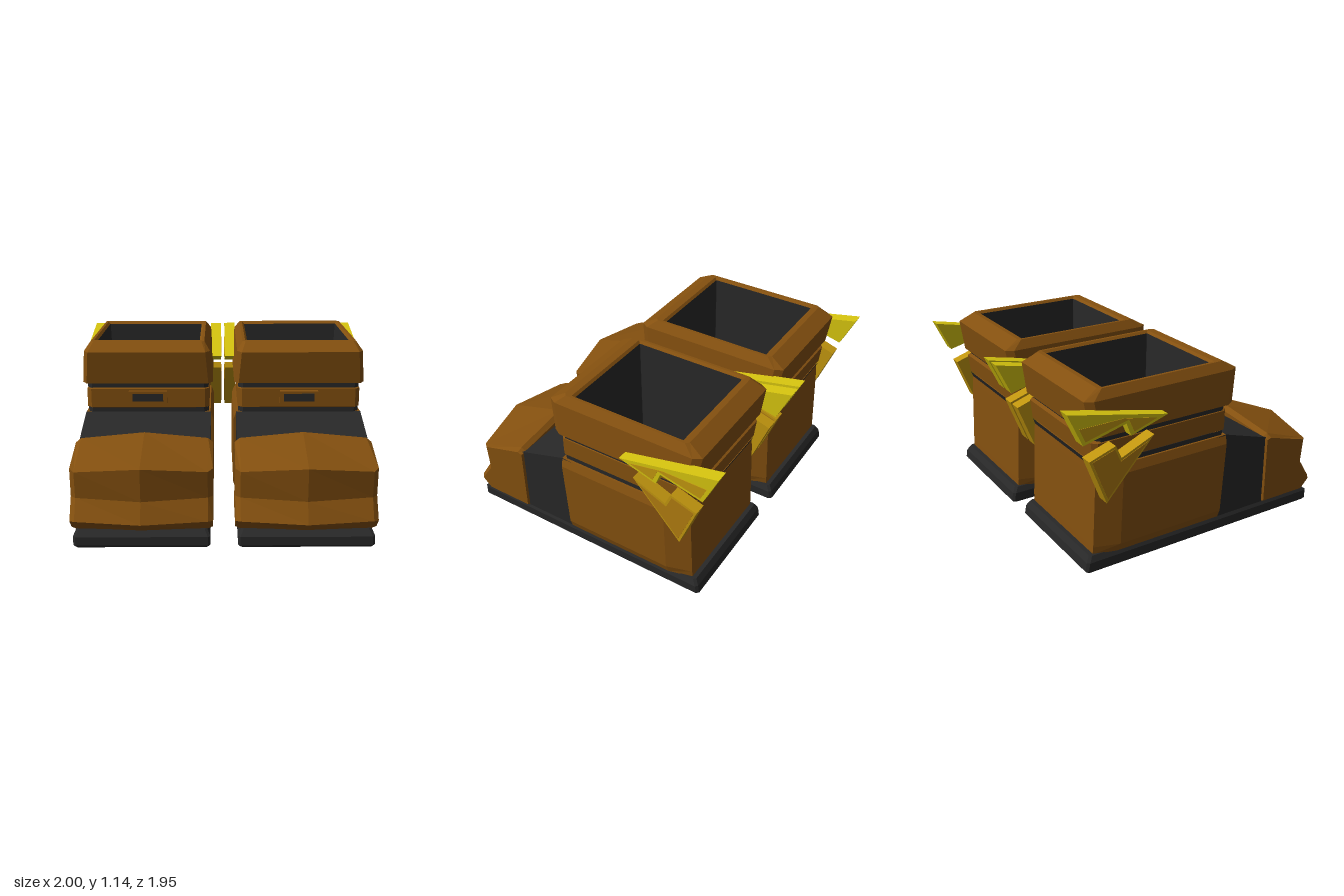
import * as THREE from 'three';

const mat = (name, color) => {
  const m = new THREE.MeshStandardMaterial({ color });
  m.name = name;
  return m;
};

// Skin a stack of equal-length loops of points with flat faces
function loft(loops, capStart = false, capEnd = false) {
  const pos = [];
  const tri = (a, b, c) => pos.push(...a, ...b, ...c);
  const n = loops[0].length;
  for (let k = 0; k + 1 < loops.length; k++) {
    const a = loops[k], b = loops[k + 1];
    for (let i = 0; i < n; i++) {
      const j = (i + 1) % n;
      tri(a[i], a[j], b[j]);
      tri(a[i], b[j], b[i]);
    }
  }
  const first = loops[0], last = loops[loops.length - 1];
  for (let i = 1; i + 1 < n; i++) {
    if (capStart) tri(first[0], first[i + 1], first[i]);
    if (capEnd) tri(last[0], last[i], last[i + 1]);
  }
  const g = new THREE.BufferGeometry();
  g.setAttribute('position', new THREE.Float32BufferAttribute(pos, 3));
  g.computeVertexNormals();
  return g;
}

// Horizontal rectangle with cut corners: height, half width, front z, back z,
// and the corner cuts in x and z
const ring = (y, w, f, b, cx = 0.03, cz = 0.03, fz = cz) => [
  [w - cx, y, f], [w, y, f - fz], [w, y, b + cz], [w - cx, y, b],
  [cx - w, y, b], [-w, y, b + cz], [-w, y, f - fz], [cx - w, y, f],
];

// Side profile of [z, y] points placed at x
const section = (x, pts) => pts.map(([z, y]) => [x, y, z]);

function extrude(pts, depth) {
  const shape = new THREE.Shape(pts.map(([z, y]) => new THREE.Vector2(-z, y)));
  return new THREE.ExtrudeGeometry(shape, { depth, bevelEnabled: false }).rotateY(Math.PI / 2);
}

export function createModel() {
  const brown = mat('brown leather', 0x84500f);
  const black = mat('black rubber', 0x282828);
  const yellow = mat('bright yellow', 0xd6c40f);
  const gold = mat('gold', 0xc2960f);
  const amber = mat('amber', 0xb07c10);

  const add = (parent, name, geometry, material) => {
    const m = new THREE.Mesh(geometry, material);
    m.name = name;
    parent.add(m);
    return m;
  };

  function makeBoot(name) {
    const boot = new THREE.Group();
    boot.name = name;

    // Sole
    add(boot, 'sole', loft([
      ring(0, 0.41, 0.895, -0.825, 0.015, 0.015),
      ring(0.015, 0.42, 0.905, -0.835, 0.015, 0.015),
      ring(0.07, 0.42, 0.905, -0.825, 0.015, 0.015),
      ring(0.105, 0.4, 0.86, -0.8, 0.015, 0.015),
    ], true, true), black);

    // Sloping instep
    const instep = [[0.1, 0.1], [0.1, 0.66], [0.17, 0.665], [0.53, 0.555], [0.53, 0.1]];
    add(boot, 'instep', loft([section(-0.42, instep), section(0.42, instep)], true, true), black);

    // Toe cap, pointed along its middle
    const edge = [[0.5, 0.11], [0.5, 0.55], [0.53, 0.56], [0.81, 0.48], [0.8, 0.3], [0.89, 0.17], [0.83, 0.11]];
    const side = [[0.49, 0.1], [0.49, 0.565], [0.52, 0.585], [0.85, 0.47], [0.835, 0.3], [0.915, 0.175], [0.84, 0.1]];
    const middle = [[0.49, 0.1], [0.49, 0.6], [0.525, 0.625], [0.92, 0.51], [0.91, 0.3], [0.975, 0.175], [0.87, 0.1]];
    add(boot, 'toeCap', loft([
      section(-0.437, edge), section(-0.405, side), section(0, middle),
      section(0.405, side), section(0.437, edge),
    ], true, true), brown);

    // Heel body
    add(boot, 'heelBody', loft([
      ring(0.1, 0.422, 0.13, -0.772, 0.04, 0.15, 0.002),
      ring(0.15, 0.437, 0.135, -0.77, 0.05, 0.16, 0.002),
      ring(0.61, 0.437, 0.165, -0.748, 0.05, 0.16, 0.002),
      ring(0.665, 0.418, 0.17, -0.745, 0.04, 0.14, 0.002),
      ring(0.665, 0.37, 0.12, -0.7, 0.04, 0.14, 0.002),
    ]), brown);

    // Ankle: black seams around a brown band
    for (const [n, y0, y1] of [['lowerSeam', 0.655, 0.695], ['upperSeam', 0.825, 0.875]]) {
      add(boot, n, loft([ring(y0, 0.405, 0.172, -0.745), ring(y1, 0.405, 0.172, -0.76)]), black);
    }
    add(boot, 'ankleBand', loft([
      ring(0.688, 0.39, 0.16, -0.74),
      ring(0.7, 0.41, 0.182, -0.758),
      ring(0.825, 0.41, 0.182, -0.772),
      ring(0.838, 0.39, 0.16, -0.74),
    ]), brown);

    // Thick cuff with a turned-in rim
    add(boot, 'cuff', loft([
      ring(0.87, 0.39, 0.16, -0.74),
      ring(0.87, 0.434, 0.212, -0.78, 0.03, 0.05),
      ring(1.085, 0.415, 0.245, -0.815, 0.03, 0.05),
      ring(1.14, 0.378, 0.15, -0.715, 0.02, 0.02),
      ring(1.14, 0.36, 0.1, -0.685, 0.002, 0.002),
      ring(1.125, 0.345, 0.085, -0.665, 0.002, 0.002),
    ]), brown);

    // Inside of the boot
    add(boot, 'lining', loft([
      ring(1.125, 0.345, 0.085, -0.665, 0.002, 0.002),
      ring(0.25, 0.31, 0.045, -0.63, 0.002, 0.002),
    ], false, true), black);

    // Front buckle
    add(boot, 'buckle', new THREE.BoxGeometry(0.255, 0.085, 0.04).translate(0, 0.772, 0.195), brown);
    add(boot, 'bucklePlate', new THREE.BoxGeometry(0.205, 0.052, 0.006).translate(0, 0.772, 0.216), black);

    // Zigzag wings on both sides
    const upper = [[-0.324, 0.945], [-0.574, 0.868], [-0.605, 0.95], [-0.882, 0.88], [-0.975, 1.083]];
    const upperFace = [[-0.4, 0.94], [-0.555, 0.89], [-0.59, 0.972], [-0.868, 0.902], [-0.905, 0.985], [-0.62, 0.985]];
    const lower = [[-0.418, 0.84], [-0.736, 0.486], [-0.846, 0.773], [-0.674, 0.83], [-0.637, 0.747]];
    const lowerFace = [[-0.465, 0.805], [-0.73, 0.512], [-0.828, 0.765], [-0.682, 0.812], [-0.645, 0.727]];
    for (const s of [-1, 1]) {
      const wing = new THREE.Group();
      wing.name = s > 0 ? 'leftWing' : 'rightWing';
      const put = (n, pts, x, depth, m) => {
        add(wing, n, extrude(pts, depth), m).position.x = s > 0 ? x : -x - depth;
      };
      put('upperFeather', upper, 0.412, 0.08, yellow);
      put('upperFeatherFace', upperFace, 0.49, 0.005, gold);
      put('lowerFeather', lower, 0.412, 0.08, gold);
      put('lowerFeatherFace', lowerFace, 0.49, 0.005, amber);
      boot.add(wing);
    }
    return boot;
  }

  const model = new THREE.Group();
  model.name = 'wingedBoots';
  for (const s of [-1, 1]) {
    const boot = makeBoot(s > 0 ? 'leftBoot' : 'rightBoot');
    boot.position.x = s * 0.505;
    model.add(boot);
  }
  return model;
}
